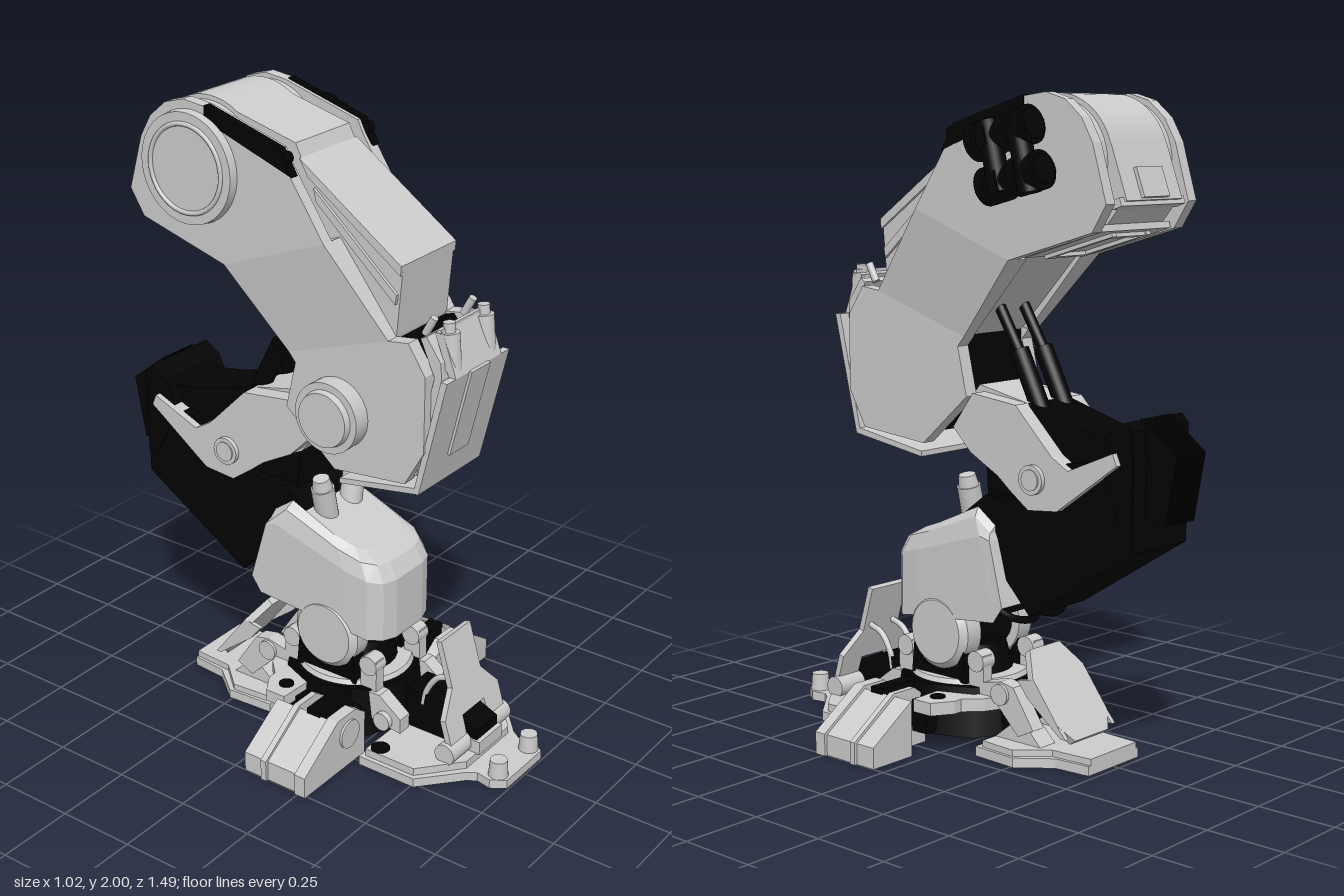
import * as THREE from 'three';

const grey = new THREE.MeshStandardMaterial({ color: 0xcccccc, side: THREE.DoubleSide });
grey.name = 'light grey armour';
const black = new THREE.MeshStandardMaterial({ color: 0x030303, side: THREE.DoubleSide });
black.name = 'black mechanics';

export function createModel() {
  const model = new THREE.Group();
  let part = model;
  const section = (name) => { part = new THREE.Group(); part.name = name; model.add(part); };
  const add = (name, geo, mat) => {
    const m = new THREE.Mesh(geo, mat);
    m.name = name;
    part.add(m);
    return m;
  };
  const extrude = (pts, depth) => new THREE.ExtrudeGeometry(
    new THREE.Shape(pts.map(([a, b]) => new THREE.Vector2(a, b))), { depth, bevelEnabled: false });
  const mirror = (half) => [...half, ...half.slice().reverse().map(([x, ...r]) => [-x, ...r])];
  // Side profile of [z, y] points spanning x0..x1
  const side = (name, pts, x0, x1, mat) =>
    add(name, extrude(pts, x1 - x0).rotateY(-Math.PI / 2).translate(x1, 0, 0), mat);
  // Plan outline of [x, z] points spanning y0..y1
  const plan = (name, pts, y0, y1, mat) =>
    add(name, extrude(pts, y1 - y0).rotateX(Math.PI / 2).translate(0, y1, 0), mat);
  const box = (name, w, h, d, x, y, z, mat, rx = 0) => {
    const m = add(name, new THREE.BoxGeometry(w, h, d), mat);
    m.position.set(x, y, z);
    m.rotation.x = rx;
    return m;
  };
  const rod = (name, a, b, r, mat, r2 = r, n = 24) => {
    const p = new THREE.Vector3(...a), q = new THREE.Vector3(...b), d = q.clone().sub(p);
    const m = add(name, new THREE.CylinderGeometry(r2, r, d.length(), n), mat);
    m.position.copy(p).add(q).multiplyScalar(0.5);
    m.quaternion.setFromUnitVectors(new THREE.Vector3(0, 1, 0), d.normalize());
    return m;
  };
  const tube = (name, pts, r, mat) => add(name, new THREE.TubeGeometry(
    new THREE.CatmullRomCurve3(pts.map((p) => new THREE.Vector3(...p))), 16, r, 8), mat);
  // Skin through mirrored rings of [x, y, z] points, roofed across the last ring
  const loft = (name, rings, mat) => {
    const n = rings[0].length, idx = [];
    for (let r = 0; r < rings.length - 1; r++) for (let i = 0; i < n; i++) {
      const a = r * n + i, b = r * n + (i + 1) % n;
      idx.push(a, b, b + n, a, b + n, a + n);
    }
    const top = (rings.length - 1) * n;
    for (let i = 0; i < n / 2 - 1; i++) {
      const a = top + i, b = top + n - 1 - i;
      idx.push(a, a + 1, b - 1, a, b - 1, b);
    }
    const g = new THREE.BufferGeometry();
    g.setAttribute('position', new THREE.Float32BufferAttribute(rings.flat(2), 3));
    g.setIndex(idx);
    const flat = g.toNonIndexed();
    flat.computeVertexNormals();
    return add(name, flat, mat);
  };

  // Thigh: core, bent side plates, hip drum
  section('thigh');
  const crown = [[-0.01, 1.87], [-0.03, 1.91], [-0.30, 1.99], [-0.38, 2.0], [-0.45, 1.98], [-0.51, 1.93], [-0.55, 1.86], [-0.60, 1.69]];
  side('thighCore', [[0.30, 1.25], [0.33, 1.40], [0.35, 1.62], [-0.01, 1.87], [-0.03, 1.91], [-0.30, 1.98], [-0.38, 1.98], [-0.54, 1.85], [-0.59, 1.69], [-0.54, 1.63], [-0.24, 1.54], [0, 1.28]], -0.13, 0.13, grey);
  rod('hipDrum', [-0.13, 1.795, -0.355], [0.13, 1.795, -0.355], 0.204, grey, 0.204, 64);
  side('kneeCore', [[0.39, 0.99], [0.43, 1.08], [0.43, 1.31], [0.36, 1.40], [0.0, 1.3], [0, 1.1], [0.14, 0.97]], -0.125, 0.125, black);
  const low = [[0.14, 0.94], [0.395, 0.965], [0.46, 1.08], [0.46, 1.32], [0.40, 1.41], [0.33, 1.40], [-0.03, 1.28], [-0.005, 1.25], [-0.04, 1.10]];
  const high = [[0.13, 1.66], ...crown, [-0.55, 1.61], [-0.24, 1.52]];
  for (const s of [-1, 1]) {
    const span = (a, b) => (s > 0 ? [a, b] : [-b, -a]);
    side('lowerSidePlate', low, ...span(0.125, 0.172), grey);
    side('upperSidePlate', high, ...span(0.172, 0.212), grey);
    // flares outward from the knee plate to the hip plate
    const mid = side('bentSidePlate', [[0.33, 1.40], [0.13, 1.66], [-0.24, 1.52], [-0.03, 1.28]], ...span(0.128, 0.172), grey);
    const p = mid.geometry.attributes.position;
    for (let i = 0; i < p.count; i++) if (p.getY(i) > 1.45 && Math.abs(p.getX(i)) > 0.15) p.setX(i, s * 0.212);
    mid.geometry.computeVertexNormals();
    side('edgeSlot', [[0.02, 1.835], [-0.025, 1.912], [-0.30, 1.994], [-0.30, 1.95]], ...span(0.185, 0.214), black);
    // raised rails beside the front slope
    side('slopeRail', [[0.35, 1.62], [0.347, 1.59], [0.02, 1.82], [-0.01, 1.87]], ...span(0.128, 0.14), grey);
    side('slopeStrip', [[0.335, 1.53], [0.33, 1.50], [0.05, 1.75], [0.04, 1.79]], ...span(0.128, 0.14), grey);
    rod('hipFlange', [s * 0.13, 1.80, -0.355], [s * 0.172, 1.80, -0.355], 0.185, grey, 0.185, 48);
    rod('hipPin', [s * 0.185, 1.885, -0.012], [s * 0.21, 1.885, -0.012], 0.018, black);
  }
  rod('hipDisc', [-0.20, 1.80, -0.355], [-0.24, 1.80, -0.355], 0.175, grey, 0.17, 48);
  const hipRing = add('hipRing', new THREE.TorusGeometry(0.135, 0.008, 8, 40), grey);
  hipRing.rotation.y = Math.PI / 2;
  hipRing.position.set(-0.239, 1.80, -0.355);
  rod('kneeDisc', [-0.17, 1.13, 0.15], [-0.23, 1.13, 0.15], 0.112, grey, 0.112, 40);
  rod('kneeCap', [-0.23, 1.13, 0.15], [-0.25, 1.13, 0.15], 0.09, grey, 0.085, 40);

  // Panels on the back and underside of the hip
  box('backPanel', 0.26, 0.17, 0.02, 0, 1.775, -0.57, grey, 0.35);
  box('backHatch', 0.12, 0.09, 0.03, 0, 1.745, -0.588, grey, 0.35);
  box('backLip', 0.30, 0.025, 0.035, 0, 1.69, -0.585, grey, 0.35);
  box('underPanel', 0.32, 0.02, 0.30, 0, 1.578, -0.40, grey, 0.29);
  for (const x of [-0.08, 0.08]) box('underRib', 0.02, 0.02, 0.26, x, 1.566, -0.40, grey, 0.29);
  for (const z of [-0.29, -0.51]) box('underCrossRib', 0.18, 0.02, 0.02, 0, 1.566 - (z + 0.40) * 0.3, z, grey, 0.29);

  // Twin canisters on the outer hip
  section('canisters');
  for (const [y, z] of [[1.885, -0.285], [1.76, -0.325]]) {
    const at = (t, x = 0.278) => [x, y - t * 0.26, z + t];
    rod('canister', at(-0.11), at(0.11), 0.044, black);
    for (const t of [-0.085, -0.025, 0.045, 0.09]) rod('canisterBand', at(t - 0.016), at(t + 0.016), 0.057, black);
    rod('canisterMount', [0.2, y, z], [0.28, y, z], 0.035, black);
  }
  for (const z of [-0.365, -0.255]) rod('canisterLink', [0.295, 1.92, z + 0.02], [0.295, 1.72, z - 0.03], 0.034, black);

  // Knee shield wrapping the front
  section('kneeShield');
  side('shieldTop', [[0.48, 1.45], [0.53, 1.315], [0.505, 1.315], [0.455, 1.44]], -0.12, 0.12, grey);
  side('shieldFront', [[0.53, 1.315], [0.44, 0.94], [0.155, 0.895], [0.155, 0.912], [0.425, 0.957], [0.508, 1.315]], -0.165, 0.165, grey);
  side('shieldBacking', [[0.49, 1.36], [0.495, 1.31], [0.415, 0.985], [0.395, 0.985], [0.47, 1.31], [0.42, 1.42], [0.44, 1.43]], -0.14, 0.14, grey);
  box('shieldPanel', 0.10, 0.29, 0.012, 0, 1.175, 0.499, grey, 0.235);
  for (const s of [-1, 1]) {
    rod('shieldPost', [s * 0.09, 1.33, 0.495], [s * 0.09, 1.44, 0.485], 0.03, grey);
    rod('shieldPostTip', [s * 0.09, 1.44, 0.485], [s * 0.09, 1.47, 0.483], 0.018, grey);
    rod('shieldStrut', [s * 0.10, 1.42, 0.41], [s * 0.10, 1.475, 0.44], 0.012, grey);
  }
  box('shieldBar', 0.26, 0.012, 0.012, 0, 1.45, 0.475, grey);

  // Knee links and rods between thigh and shin
  section('kneeLinkage');
  side('upperLink', [[0.05, 1.03], [-0.03, 1.13], [-0.22, 1.09], [-0.30, 0.90], [-0.15, 0.87], [-0.04, 0.92]], -0.10, 0.10, grey);
  for (const s of [-1, 1]) {
    const [a, b] = s > 0 ? [0.10, 0.155] : [-0.155, -0.10];
    side('kneeArm', [[0.03, 1.0], [-0.05, 1.11], [-0.22, 1.09], [-0.36, 0.95], [-0.42, 0.915], [-0.585, 0.985], [-0.60, 0.95], [-0.38, 0.79], [-0.27, 0.78], [-0.20, 0.83], [-0.15, 0.87], [-0.04, 0.93]], a, b, grey);
    rod('kneePivot', [s * 0.15, 0.875, -0.29], [s * 0.17, 0.875, -0.29], 0.045, grey);
    rod('pivotCentre', [s * 0.165, 0.875, -0.29], [s * 0.174, 0.875, -0.29], 0.032, grey);
    rod('kneeRod', [s * 0.055, 1.37, -0.07], [s * 0.055, 1.22, -0.16], 0.018, black);
    rod('kneeCylinder', [s * 0.055, 1.24, -0.15], [s * 0.055, 0.98, -0.28], 0.03, black);
  }

  // Shin: dark motor block with rear cooling fins
  section('shin');
  side('shinBlock', [[0, 0.74], [-0.02, 0.70], [-0.255, 0.45], [-0.64, 0.695], [-0.645, 0.97], [-0.61, 1.06], [-0.56, 1.04], [-0.52, 0.95], [-0.39, 0.93], [-0.36, 0.82], [-0.20, 0.80], [-0.08, 0.80]], -0.13, 0.13, black);
  side('kneeMotor', [[-0.05, 0.92], [-0.06, 0.78], [-0.4, 0.78], [-0.6, 1.0], [-0.42, 1.03], [-0.22, 1.09], [-0.15, 1.02]], -0.095, 0.095, black);
  side('calfBlock', [[-0.52, 0.95], [-0.60, 0.77], [-0.64, 0.77], [-0.64, 1.05], [-0.615, 1.075], [-0.56, 1.04]], -0.135, 0.135, black);
  for (let i = 0; i < 10; i++) {
    const x = -0.0675 + i * 0.015;
    side('coolingFin', [[-0.60, 0.80], [-0.71, 0.775], [-0.748, 0.98], [-0.62, 1.08]], x - 0.004, x + 0.004, black);
  }
  side('finCore', [[-0.6, 0.80], [-0.69, 0.79], [-0.705, 0.99], [-0.62, 1.06]], -0.07, 0.07, black);
  box('shinNeck', 0.2, 0.26, 0.16, 0, 0.54, 0.0, black);
  for (const x of [-0.06, 0.06]) {
    tube('hose', [[x, 0.5, -0.24], [x, 0.43, -0.22], [x, 0.41, -0.14], [x, 0.43, -0.06]], 0.012, black);
  }

  // Shin guard: rounded hood over the ankle
  section('shinGuard');
  loft('guardHood', [
    [[0.07, 0.365, 0.305], [0.12, 0.37, 0.29], [0.155, 0.375, 0.25], [0.165, 0.39, 0.17], [0.175, 0.42, -0.15], [0.175, 0.47, -0.185]],
    [[0.07, 0.57, 0.305], [0.12, 0.57, 0.29], [0.155, 0.58, 0.25], [0.165, 0.60, 0.17], [0.17, 0.68, -0.09], [0.17, 0.67, -0.13]],
    [[0.07, 0.62, 0.275], [0.115, 0.625, 0.26], [0.145, 0.635, 0.22], [0.155, 0.66, 0.14], [0.155, 0.735, -0.06], [0.155, 0.69, -0.12]],
    [[0.065, 0.65, 0.22], [0.10, 0.655, 0.205], [0.12, 0.665, 0.18], [0.13, 0.69, 0.11], [0.13, 0.76, -0.05], [0.13, 0.71, -0.12]],
  ].map(mirror), grey);
  for (const s of [-1, 1]) {
    rod('guardPost', [s * 0.06, 0.70, 0.03], [s * 0.085, 0.81, 0.03], 0.037, grey);
    rod('guardPostTip', [s * 0.085, 0.81, 0.03], [s * 0.093, 0.845, 0.03], 0.032, grey, 0.026);
  }

  // Ankle joint
  section('ankle');
  rod('ankleAxle', [-0.12, 0.35, 0.095], [0.12, 0.35, 0.095], 0.09, black);
  for (const s of [-1, 1]) {
    rod('ankleDisc', [s * 0.09, 0.35, 0.095], [s * 0.15, 0.35, 0.095], 0.12, grey, 0.12, 40);
    rod('ankleHub', [s * 0.15, 0.35, 0.095], [s * 0.17, 0.35, 0.095], 0.12, grey, 0.10, 40);
    for (const z of [0.25, -0.05]) {
      box('clevis', 0.04, 0.12, 0.06, s * 0.12, 0.235, z, grey);
      rod('clevisPin', [s * 0.09, 0.275, z], [s * 0.145, 0.275, z], 0.033, grey);
    }
    side('ankleCup', [[0.21, 0.2], [0.20, 0.30], [0.17, 0.25], [0.095, 0.22], [0.02, 0.25], [-0.01, 0.30], [-0.02, 0.2]], s > 0 ? 0.1 : -0.155, s > 0 ? 0.155 : -0.1, black);
  }
  rod('ankleBase', [0, 0.19, 0.1], [0, 0.30, 0.1], 0.14, black, 0.11);
  rod('ankleRing', [0, 0.19, 0.1], [0, 0.21, 0.1], 0.19, grey, 0.18, 40);

  // Foot hub and toes
  section('foot');
  rod('footHub', [0, 0.04, 0.1], [0, 0.195, 0.1], 0.24, black, 0.22, 8);
  plan('rearBracket', mirror([[0.14, 0.06], [0.315, 0.05], [0.315, -0.02], [0.25, -0.06], [0.22, -0.06], [0.17, -0.11], [0.1, -0.14]]), 0.135, 0.175, grey);
  plan('frontToeSole', mirror([[0.265, 0.305], [0.265, 0.51], [0.14, 0.62], [0.12, 0.65], [0.13, 0.70], [0.10, 0.745]]), 0, 0.03, grey);
  plan('frontToeTop', mirror([[0.25, 0.32], [0.25, 0.50], [0.12, 0.61]]), 0.03, 0.055, grey);
  side('frontToeMotor', [[0.34, 0.04], [0.605, 0.04], [0.605, 0.13], [0.46, 0.19], [0.34, 0.19]], -0.058, 0.058, black);
  box('frontToeStep', 0.13, 0.045, 0.04, 0, 0.075, 0.60, grey);
  const frontPlate = add('frontToeShield', extrude(mirror([[0.08, 0.365], [0.08, 0.21], [0.15, 0.13], [0.15, 0], [0.065, 0], [0.06, 0.11]]), 0.02), grey);
  frontPlate.position.set(0, 0.06, 0.565);
  frontPlate.rotation.x = -0.29;
  for (const s of [-1, 1]) {
    rod('soleBolt', [s * 0.22, 0.05, 0.355], [s * 0.22, 0.06, 0.355], 0.03, black);
    rod('bracketBolt', [s * 0.25, 0.17, 0.01], [s * 0.25, 0.18, 0.01], 0.024, black);
    rod('toeStud', [s * 0.088, 0.02, 0.705], [s * 0.088, 0.085, 0.705], 0.032, grey, 0.027);
    tube('toeHose', [[s * 0.05, 0.28, 0.50], [s * 0.05, 0.26, 0.45], [s * 0.05, 0.2, 0.41], [s * 0.05, 0.15, 0.40]], 0.01, grey);
    side('frontToeArm', [[0.24, 0.19], [0.30, 0.19], [0.38, 0.13], [0.38, 0.08], [0.24, 0.1]], s > 0 ? 0.10 : -0.15, s > 0 ? 0.15 : -0.10, grey);
    rod('frontToePin', [s * 0.09, 0.11, 0.32], [s * 0.17, 0.11, 0.32], 0.03, grey);
    rod('frontToeBarrel', [s * 0.06, 0.08, 0.555], [s * 0.165, 0.08, 0.555], 0.035, grey);

    // Side toe: sloped block with raised ribs and a dark axle
    const profile = [[0.51, 0], [0.51, 0.07], [0.34, 0.185], [0.25, 0.185], [0.20, 0.15], [0.20, 0]].map(([x, y]) => [s * x, y]);
    for (const [z0, z1] of [[0.11, 0.13], [0.24, 0.28]]) add('sideToeRib', extrude(profile, z1 - z0).translate(0, 0, z0), grey);
    const outer = [[0.5, 0], [0.5, 0.066], [0.335, 0.175], [0.335, 0]].map(([x, y]) => [s * x, y]);
    add('sideToeBlock', extrude(outer, 0.22).translate(0, 0, 0.04), grey);
    rod('sideToeDisc', [s * 0.285, 0.115, 0.27], [s * 0.285, 0.115, 0.288], 0.047, grey);
    box('sideToeAxle', 0.2, 0.08, 0.05, s * 0.24, 0.15, 0.185, black);
    box('sideToeHinge', 0.08, 0.1, 0.2, s * 0.22, 0.1, 0.15, black);

    // Rear toe arms and shield flanges
    side('rearToeArm', [[0.03, 0.2], [-0.06, 0.21], [-0.15, 0.23], [-0.20, 0.22], [-0.28, 0.10], [-0.22, 0.07], [-0.13, 0.16], [0.03, 0.17]], s > 0 ? 0.09 : -0.14, s > 0 ? 0.14 : -0.09, grey);
    side('rearToeLug', [[-0.12, 0.05], [-0.22, 0.13], [-0.30, 0.05]], s > 0 ? 0.06 : -0.13, s > 0 ? 0.13 : -0.06, grey);
    rod('rearToePin', [s * 0.08, 0.19, -0.15], [s * 0.15, 0.19, -0.15], 0.033, grey);
    side('rearToeFlange', [[-0.20, 0.24], [-0.25, 0.25], [-0.39, 0.09], [-0.37, 0.09], [-0.24, 0.19]], s > 0 ? 0.105 : -0.12, s > 0 ? 0.12 : -0.105, grey);
  }
  plan('rearToeSole', mirror([[0.20, -0.10], [0.21, -0.26], [0.13, -0.36], [0.12, -0.48]]), 0, 0.03, grey);
  plan('rearToeTop', mirror([[0.19, -0.12], [0.20, -0.25], [0.12, -0.34], [0.11, -0.48]]), 0.03, 0.05, grey);
  box('rearToeMotor', 0.16, 0.15, 0.14, 0, 0.115, -0.06, black);
  const rearPlate = add('rearToeShield', extrude(mirror([[0.07, 0.31], [0.12, 0.22], [0.12, 0.06], [0.08, 0]]), 0.025), grey);
  rearPlate.position.set(0, 0.08, -0.395);
  rearPlate.rotation.x = 0.65;

  return model;
}
